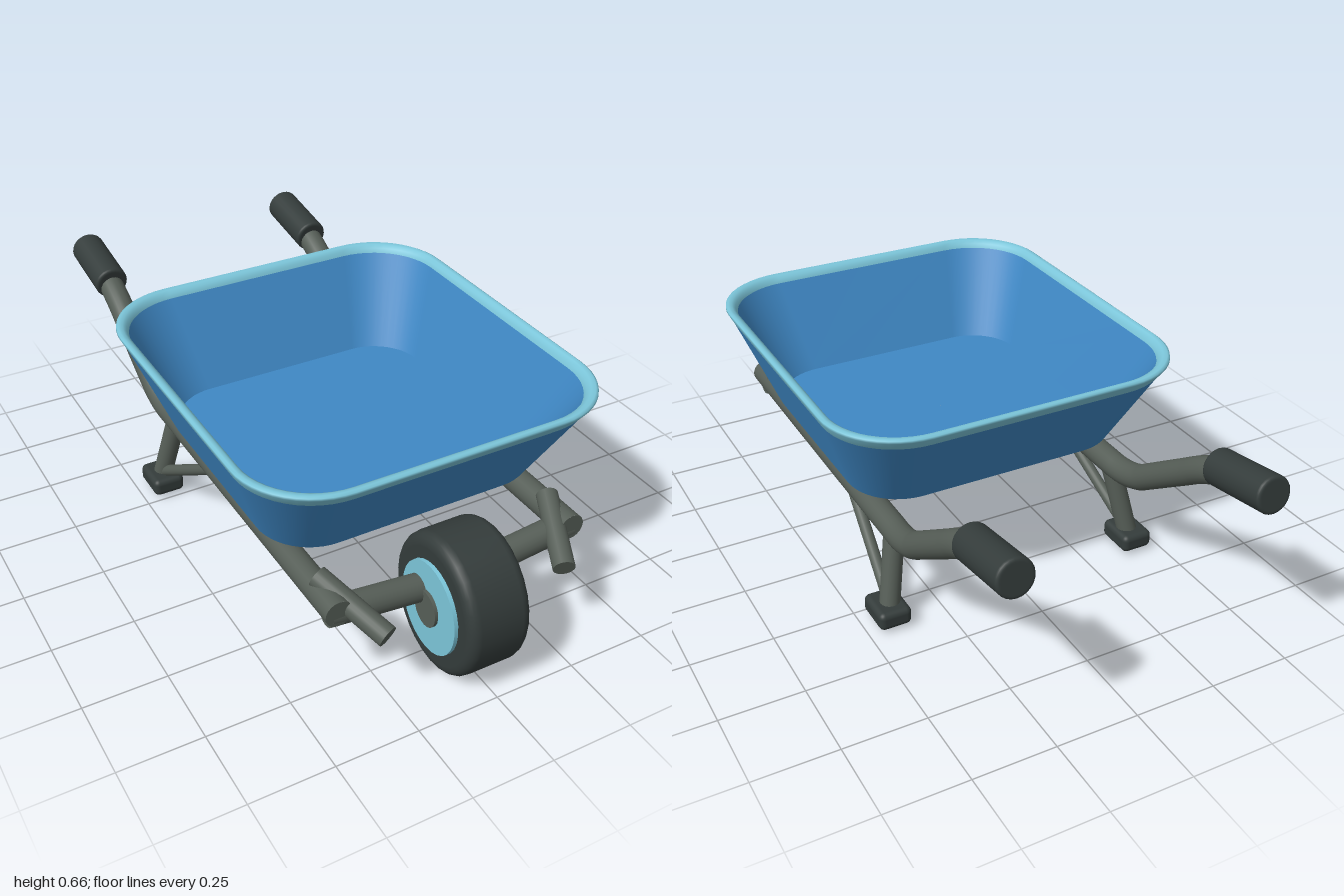
import * as THREE from 'three';
import { RoundedBoxGeometry } from 'three/addons/geometries/RoundedBoxGeometry.js';

const paint = (name, color) => Object.assign(new THREE.MeshStandardMaterial({ color }), { name });
const V = (x, y, z) => new THREE.Vector3(x, y, z);

function add(parent, name, geometry, material) {
  const mesh = new THREE.Mesh(geometry, material);
  mesh.name = name;
  parent.add(mesh);
  return mesh;
}

// Straight part running from a to b; the geometry's own axis is y
function place(mesh, a, b) {
  mesh.position.copy(a).add(b).multiplyScalar(0.5);
  mesh.quaternion.setFromUnitVectors(V(0, 1, 0), b.clone().sub(a).normalize());
  return mesh;
}
function rod(parent, name, a, b, r, material) {
  return place(add(parent, name, new THREE.CylinderGeometry(r, r, a.distanceTo(b), 20), material), a, b);
}

// Solid of revolution with rounded edges, centred on its y axis
function roundedDrum(r, half, bevel, segments) {
  const pts = [new THREE.Vector2(0, -half), new THREE.Vector2(r - bevel - 0.004, -half)];
  for (const s of [-1, 1]) {
    for (let i = 0; i <= 5; i++) {
      const a = (s < 0 ? -1 + i / 5 : i / 5) * Math.PI / 2;
      pts.push(new THREE.Vector2(r - bevel + bevel * Math.cos(a), s * (half - bevel) + bevel * Math.sin(a)));
    }
  }
  pts.push(new THREE.Vector2(r - bevel - 0.004, half), new THREE.Vector2(0, half));
  return new THREE.LatheGeometry(pts, segments);
}

// Surface through rounded-rectangle sections [halfX, halfZ, radius, y]
function loft(sections, steps = 12) {
  const pos = [], index = [], n = 4 * (steps + 1);
  for (const [hx, hz, r, y] of sections) {
    for (let q = 0; q < 4; q++) {
      const sx = q === 0 || q === 3 ? 1 : -1, sz = q < 2 ? 1 : -1;
      for (let i = 0; i <= steps; i++) {
        const a = (q + i / steps) * Math.PI / 2;
        pos.push(sx * (hx - r) + r * Math.cos(a), y, sz * (hz - r) + r * Math.sin(a));
      }
    }
  }
  for (let s = 0; s < sections.length - 1; s++) {
    for (let i = 0; i < n; i++) {
      const a = s * n + i, b = s * n + (i + 1) % n;
      index.push(a, a + n, b, b, a + n, b + n);
    }
  }
  const g = new THREE.BufferGeometry();
  g.setAttribute('position', new THREE.Float32BufferAttribute(pos, 3));
  g.setIndex(index);
  g.computeVertexNormals();
  return g;
}

export function createModel() {
  const blue = paint('tray blue', 0x3f88c5);
  const lightBlue = paint('light blue', 0x7cc6da);
  const steel = paint('frame grey', 0x565e57);
  const rubber = paint('dark rubber', 0x343c3b);
  const model = new THREE.Group();
  model.name = 'wheelbarrow';

  // Tray: underside, walls, rolled rim and floor
  const tray = new THREE.Group();
  tray.name = 'tray';
  tray.position.z = 0.167;
  model.add(tray);
  const base = [0.435, 0.432, 0.165, 0.36], rimLow = [0.539, 0.585, 0.225, 0.625];
  const rimIn = [0.52, 0.57, 0.21, 0.642], floor = [0.415, 0.42, 0.155, 0.375];
  add(tray, 'trayUnderside', loft([[0.001, 0.001, 0.0005, 0.36], base]), blue);
  add(tray, 'trayOuterWall', loft([base, rimLow]), blue);
  add(tray, 'trayRim', loft([rimLow, [0.554, 0.607, 0.235, 0.655], [0.553, 0.606, 0.234, 0.662],
    [0.546, 0.599, 0.228, 0.666], [0.535, 0.588, 0.222, 0.664], [0.525, 0.576, 0.214, 0.656], rimIn]), lightBlue);
  add(tray, 'trayInnerWall', loft([rimIn, floor]), blue);
  add(tray, 'trayFloor', loft([floor, [0.001, 0.001, 0.0005, 0.375]]), blue);

  // Wheel, slightly taller than it is long
  const wheel = new THREE.Group();
  wheel.name = 'wheel';
  wheel.position.set(0, 0.22, 0.805);
  wheel.scale.z = 0.9;
  model.add(wheel);
  add(wheel, 'tire', roundedDrum(0.215, 0.097, 0.032, 28), rubber).rotation.z = Math.PI / 2;
  add(wheel, 'rimDiscs', new THREE.CylinderGeometry(0.142, 0.142, 0.218, 28), lightBlue).rotation.z = Math.PI / 2;
  add(wheel, 'hub', new THREE.CylinderGeometry(0.056, 0.056, 0.238, 20), steel).rotation.z = Math.PI / 2;

  // Frame parts mirrored to both sides
  for (const s of [1, -1]) {
    const side = new THREE.Group();
    side.name = s > 0 ? 'leftFrame' : 'rightFrame';
    model.add(side);

    // Long handle tube with a flat front end
    const path = new THREE.CurvePath();
    const p = [V(s * 0.375, 0.3, 0.79), V(s * 0.375, 0.293, -0.29), V(s * 0.378, 0.29, -0.36),
      V(s * 0.378, 0.325, -0.43), V(s * 0.38, 0.47, -0.65), V(s * 0.38, 0.535, -0.74), V(s * 0.38, 0.56, -0.85)];
    path.add(new THREE.LineCurve3(p[0], p[1]));
    path.add(new THREE.QuadraticBezierCurve3(p[1], p[2], p[3]));
    path.add(new THREE.LineCurve3(p[3], p[4]));
    path.add(new THREE.QuadraticBezierCurve3(p[4], p[5], p[6]));
    add(side, 'handleTube', new THREE.TubeGeometry(path, 80, 0.04, 20), steel);
    add(side, 'handleTubeEnd', new THREE.CircleGeometry(0.04, 20), steel).position.copy(p[0]);

    // Grip
    const g0 = V(s * 0.38, 0.548, -0.76), g1 = V(s * 0.38, 0.585, -0.992);
    place(add(side, 'grip', roundedDrum(0.055, g0.distanceTo(g1) / 2, 0.01, 24), rubber), g0, g1);

    // Axle arm to the hub and angled front stub
    rod(side, 'axleArm', V(s * 0.39, 0.28, 0.75), V(s * 0.05, 0.248, 0.755), 0.041, steel);
    rod(side, 'frontStub', V(s * 0.375, 0.338, 0.67), V(s * 0.283, 0.257, 0.883), 0.032, steel);

    // Leg, brace and foot
    rod(side, 'leg', V(s * 0.37, 0.29, -0.275), V(s * 0.415, 0.055, -0.325), 0.031, steel);
    rod(side, 'legBrace', V(s * 0.377, 0.28, 0.03), V(s * 0.412, 0.075, -0.305), 0.018, steel);
    add(side, 'foot', new RoundedBoxGeometry(0.102, 0.058, 0.13, 4, 0.018), rubber).position.set(s * 0.419, 0.043, -0.32);
  }
  return model;
}
